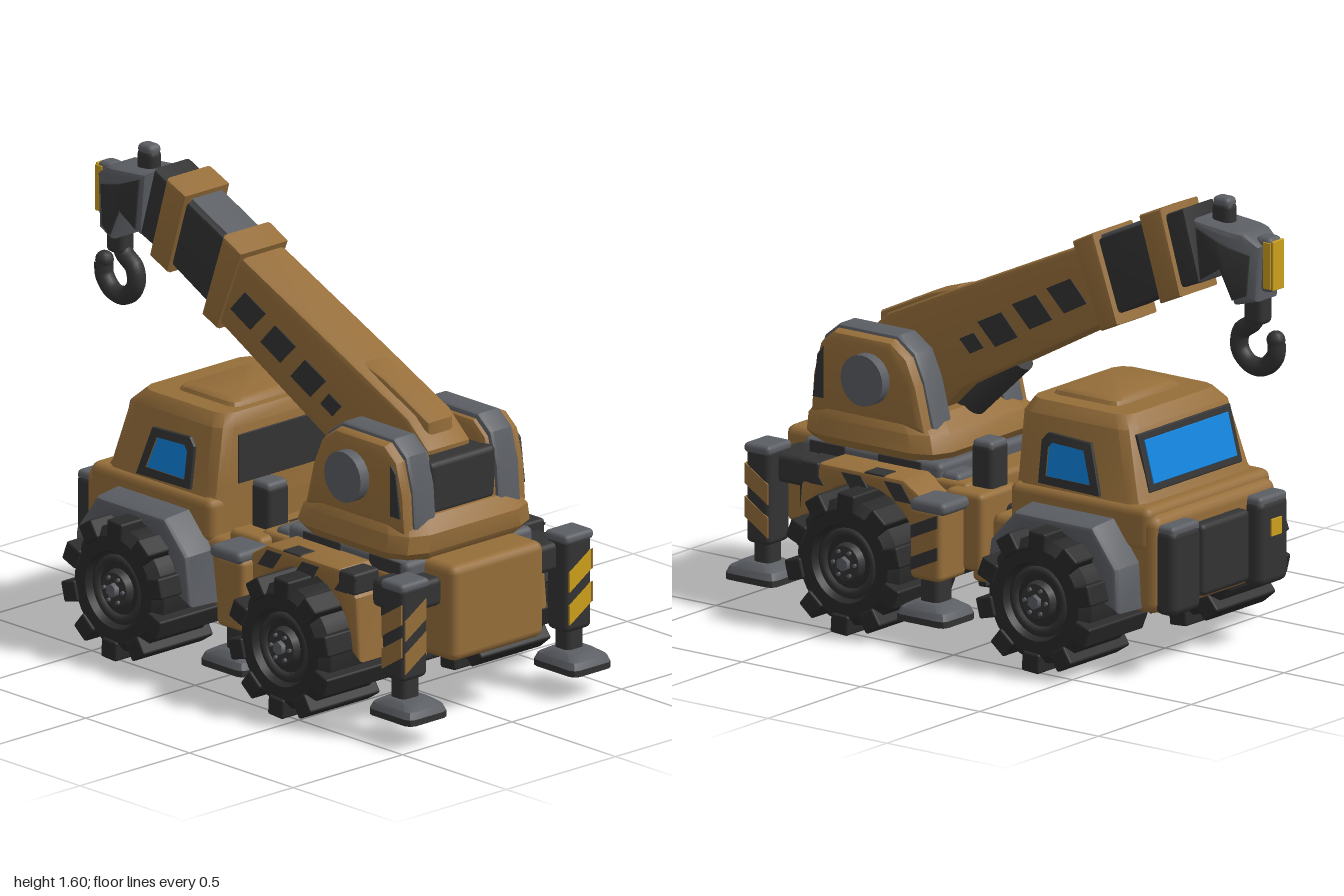
import * as THREE from 'three';
import { RoundedBoxGeometry } from 'three/addons/geometries/RoundedBoxGeometry.js';
import { toCreasedNormals } from 'three/addons/utils/BufferGeometryUtils.js';

const paint = (name, color) => Object.assign(new THREE.MeshStandardMaterial({ color }), { name });

export function createModel() {
  const root = new THREE.Group();
  root.name = 'mobileCrane';
  const brown = paint('brown paint', 0x966e3a), dark = paint('dark metal', 0x333334);
  const gray = paint('gray metal', 0x5b5e63), tyreMat = paint('tyre rubber', 0x2a2a2a);
  const blue = paint('window glass', 0x0f84de), yellow = paint('yellow paint', 0xcda01c);

  const add = (name, geo, mat, parent = root) => {
    const m = new THREE.Mesh(geo, mat);
    m.name = name;
    parent.add(m);
    return m;
  };
  // Rounded box given by its extents
  const box = (name, mat, x0, x1, y0, y1, z0, z1, r = 0.02, parent = root) => {
    const m = add(name, new RoundedBoxGeometry(x1 - x0, y1 - y0, z1 - z0, 2, r), mat, parent);
    m.position.set((x0 + x1) / 2, (y0 + y1) / 2, (z0 + z1) / 2);
    return m;
  };
  // Side outline, with an optional hole, extruded between two depths with bevelled rims
  const prism = (name, mat, pts, z0, z1, b = 0.015, hole = null) => {
    const shape = new THREE.Shape(pts.map(p => new THREE.Vector2(...p)));
    if (hole) shape.holes.push(new THREE.Path(hole.map(p => new THREE.Vector2(...p))));
    const geo = new THREE.ExtrudeGeometry(shape, {
      depth: z1 - z0 - 2 * b, bevelEnabled: b > 0, bevelThickness: b, bevelSize: b, bevelOffset: -b, bevelSegments: 2,
    });
    geo.translate(0, 0, z0 + b);
    return add(name, toCreasedNormals(geo, 0.6), mat);
  };
  // Move the vertices of a mesh by a rule
  const reshape = (m, rule) => {
    const p = m.geometry.attributes.position;
    for (let i = 0; i < p.count; i++) p.setXYZ(i, ...rule(p.getX(i), p.getY(i), p.getZ(i)));
    m.geometry = toCreasedNormals(m.geometry, 0.6);
  };
  // Same part on both sides of the vehicle
  const span = (s, a, b) => (s > 0 ? [a, b] : [-b, -a]);
  const sides = fn => [1, -1].forEach(fn);
  // Stacked rounded rectangles: [y, x0, x1, half depth]
  const loft = (name, mat, rows, c) => {
    const pos = [], idx = [], n = 12;
    rows.forEach(([y, x0, x1, h]) => {
      [[x1, h, 0], [x0, h, 1], [x0, -h, 2], [x1, -h, 3]].forEach(([x, z, q]) => {
        const sx = Math.sign(x - (x0 + x1) / 2), sz = Math.sign(z);
        const k = [[0, c], [c * 0.3, c * 0.3], [c, 0]];
        (q % 2 ? k.reverse() : k).forEach(([dx, dz]) => pos.push(x - sx * dx, y, z - sz * dz));
      });
    });
    for (let r = 0; r < rows.length - 1; r++) for (let i = 0; i < n; i++) {
      const a = r * n + i, b = r * n + (i + 1) % n;
      idx.push(a, a + n, b, b, a + n, b + n);
    }
    const top = (rows.length - 1) * n;
    for (let i = 1; i < n - 1; i++) idx.push(0, i, i + 1, top, top + i + 1, top + i);
    const geo = new THREE.BufferGeometry();
    geo.setAttribute('position', new THREE.Float32BufferAttribute(pos, 3));
    geo.setIndex(idx);
    return add(name, toCreasedNormals(geo, 0.6), mat);
  };

  // Chassis and cab
  box('chassis', dark, -0.64, 0.8, 0.21, 0.46, -0.215, 0.215);
  box('middleFrame', brown, -0.12, 0.13, 0.18, 0.42, -0.24, 0.24);
  box('nose', brown, -0.72, -0.58, 0.22, 0.56, -0.33, 0.33, 0.04);
  box('cabSill', brown, -0.69, -0.1, 0.43, 0.585, -0.335, 0.335, 0.03);
  box('cabRearPanel', brown, -0.15, -0.02, 0.22, 0.46, -0.33, 0.33, 0.03);
  loft('cab', brown, [[0.55, -0.66, -0.1, 0.325], [0.6, -0.63, -0.1, 0.31], [0.82, -0.57, -0.1, 0.28], [0.862, -0.53, -0.12, 0.25]], 0.05);
  loft('roofHatch', brown, [[0.855, -0.44, -0.15, 0.18], [0.875, -0.43, -0.16, 0.17], [0.885, -0.41, -0.18, 0.15]], 0.03);
  const pane = [[-0.435, 0.62], [-0.395, 0.735], [-0.26, 0.74], [-0.242, 0.72], [-0.242, 0.62]];
  sides(s => {
    const lean = (x, y, z) => [x, y, z - s * 0.136 * (y - 0.6)];
    reshape(prism('sideWindowFrame', dark, [[-0.475, 0.59], [-0.42, 0.76], [-0.24, 0.768], [-0.215, 0.74], [-0.215, 0.595]], ...span(s, 0.3, 0.322), 0.003, pane), lean);
    reshape(prism('sideWindow', blue, pane, ...span(s, 0.304, 0.3125), 0), lean);
  });
  const windscreen = new THREE.Group();
  windscreen.name = 'windscreen';
  windscreen.position.set(-0.6, 0.71, 0);
  windscreen.rotation.z = -0.266;
  root.add(windscreen);
  box('windscreenFrame', dark, -0.006, 0.01, -0.1, 0.1, -0.25, 0.25, 0.005, windscreen);
  box('windscreenGlass', blue, -0.01, -0.004, -0.075, 0.075, -0.225, 0.225, 0.002, windscreen);
  box('rearCabWindow', dark, -0.103, -0.095, 0.62, 0.79, -0.21, 0.21, 0.002);

  // Front bumper, with one marker lamp
  box('grille', dark, -0.76, -0.68, 0.25, 0.5, -0.13, 0.13);
  sides(s => {
    box('bumperBlock', dark, -0.78, -0.69, 0.22, 0.52, ...span(s, 0.155, 0.315), 0.03);
    box('bumperCap', gray, -0.775, -0.69, 0.49, 0.53, ...span(s, 0.16, 0.31), 0.015);
  });
  box('markerLamp', yellow, -0.785, -0.778, 0.39, 0.45, 0.21, 0.265, 0.002);

  // Arch outline around a wheel centre
  const arch = (cx, outer) => {
    const inner = [];
    for (let i = 0; i <= 12; i++) {
      const a = Math.PI * i / 12;
      inner.push([cx + 0.235 * Math.cos(a), 0.27 + 0.23 * Math.sin(a)]);
    }
    return outer.concat(inner);
  };
  sides(s => {
    const front = prism('frontFender', gray, arch(-0.365, [[-0.665, 0.24], [-0.655, 0.4], [-0.55, 0.54], [-0.2, 0.54], [-0.09, 0.42], [-0.065, 0.24]]), ...span(s, 0.24, 0.445));
    // Narrow the arch towards its outer rim
    reshape(front, (x, y, z) => {
      const t = Math.max(0, (Math.abs(z) - 0.33) / 0.115) * 0.07;
      return [x - (x + 0.365) * t, y - (y - 0.25) * t, z];
    });
    prism('rearFender', brown, arch(0.44, [[0.16, 0.26], [0.16, 0.48], [0.27, 0.545], [0.62, 0.545], [0.7, 0.46], [0.72, 0.24]]), ...span(s, 0.22, 0.43));
    box('rearSideBox', brown, 0.68, 0.8, 0.22, 0.5, ...span(s, 0.18, 0.315));
    box('rearSidePanel', dark, 0.69, 0.79, 0.26, 0.48, ...span(s, 0.312, 0.32), 0.003);
    // Dark stripes wrapped over the rear fender
    [[0.23, 0.3], [0.4, 0.48], [0.6, 0.66]].forEach(([a, b]) =>
      prism('fenderStripe', dark, [[a, 0.47], [b, 0.47], [b + 0.045, 0.53], [a + 0.045, 0.53]], ...span(s, 0.426, 0.434), 0));
    box('fenderNotch', dark, 0.35, 0.43, 0.541, 0.548, ...span(s, 0.36, 0.43), 0.002);
    box('fenderNotch', dark, 0.62, 0.7, 0.47, 0.545, ...span(s, 0.32, 0.435), 0.01);
  });

  // Wheels with ten broad tread lugs
  const tyreProfile = [[0.03, -0.13], [0.11, -0.13], [0.13, -0.15], [0.185, -0.155], [0.215, -0.12], [0.215, 0.12], [0.185, 0.15],
    [0.135, 0.15], [0.125, 0.125], [0.1, 0.12], [0.001, 0.12]].map(p => new THREE.Vector2(...p));
  const tyreGeo = toCreasedNormals(new THREE.LatheGeometry(tyreProfile, 32).rotateX(Math.PI / 2), 0.5);
  [[-0.365, 0.256], [0.44, 0.25]].forEach(([x, y]) => sides(s => {
    const wheel = new THREE.Group();
    wheel.name = 'wheel';
    wheel.position.set(x, y, s * 0.38);
    if (s < 0) wheel.rotation.y = Math.PI;
    root.add(wheel);
    add('tyre', tyreGeo, tyreMat, wheel);
    for (let i = 0; i < 10; i++) {
      const a = Math.PI * (i + 0.4) / 5;
      const lug = box('treadLug', tyreMat, -0.034, 0.034, -0.036, 0.036, -0.16, 0.16, 0.008, wheel);
      lug.position.set(0.21 * Math.cos(a), 0.21 * Math.sin(a), 0);
      lug.rotation.z = a;
    }
    add('rimRing', new THREE.TorusGeometry(0.105, 0.014, 8, 28), dark, wheel).position.z = 0.12;
    add('hub', new THREE.CylinderGeometry(0.06, 0.07, 0.03, 20).rotateX(Math.PI / 2), dark, wheel).position.z = 0.13;
    add('hubCap', new THREE.CylinderGeometry(0.024, 0.026, 0.02, 6).rotateX(Math.PI / 2), gray, wheel).position.z = 0.152;
    for (let i = 0; i < 6; i++)
      add('wheelBolt', new THREE.CylinderGeometry(0.007, 0.007, 0.012, 6).rotateX(Math.PI / 2), gray, wheel)
        .position.set(0.045 * Math.cos(i * Math.PI / 3), 0.045 * Math.sin(i * Math.PI / 3), 0.148);
  }));

  // Rear deck and counterweight
  box('rearBody', brown, 0.1, 0.78, 0.42, 0.53, -0.3, 0.3);
  box('turntable', gray, 0.22, 0.8, 0.51, 0.575, -0.29, 0.29);
  sides(s => [[0.3, 0.48], [0.62, 0.77]].forEach(([a, b]) => box('turntablePanel', dark, a, b, 0.52, 0.57, ...span(s, 0.286, 0.294), 0.003)));
  box('counterweight', brown, 0.74, 0.94, 0.24, 0.575, -0.21, 0.21, 0.03);

  // Outriggers
  const foot = (x, z) => {
    loft('outriggerFoot', dark, [[0.09, -0.105, 0.105, 0.09], [0.112, -0.105, 0.105, 0.09]], 0.025).position.set(x, 0, z);
    loft('outriggerFootTop', gray, [[0.112, -0.105, 0.105, 0.09], [0.135, -0.095, 0.095, 0.082], [0.155, -0.06, 0.06, 0.055]], 0.025).position.set(x, 0, z);
  };
  sides(s => {
    box('deckBox', brown, 0, 0.16, 0.25, 0.52, ...span(s, 0.14, 0.35));
    box('exhaustStack', dark, 0.02, 0.11, 0.48, 0.67, ...span(s, 0.17, 0.27));
    box('exhaustCap', gray, 0.023, 0.107, 0.64, 0.68, ...span(s, 0.173, 0.267), 0.015);
    box('deckHousing', gray, 0.15, 0.23, 0.48, 0.55, ...span(s, 0.16, 0.28));
    box('frontOutriggerSleeve', brown, 0.075, 0.205, 0.23, 0.48, ...span(s, 0.33, 0.48));
    box('frontOutriggerCap', gray, 0.05, 0.2, 0.465, 0.51, ...span(s, 0.34, 0.49));
    box('frontOutriggerLeg', dark, 0.1, 0.18, 0.12, 0.25, ...span(s, 0.37, 0.46));
    foot(0.135, s * 0.425);
    box('rearOutriggerArm', dark, 0.72, 0.88, 0.43, 0.53, ...span(s, 0.2, 0.38));
    box('rearOutriggerPost', dark, 0.83, 0.93, 0.22, 0.55, ...span(s, 0.315, 0.435));
    box('rearOutriggerCap', gray, 0.825, 0.935, 0.53, 0.565, ...span(s, 0.31, 0.44), 0.015);
    box('rearOutriggerLeg', dark, 0.845, 0.915, 0.12, 0.24, ...span(s, 0.335, 0.415));
    foot(0.895, s * 0.375);
    // Warning stripes on the post, yellow only on one rear face
    for (let i = 0; i < 2; i++) {
      const y = 0.25 + i * 0.115;
      const bar = [[-0.048, y], [0.048, y + 0.06], [0.048, y + 0.13], [-0.048, y + 0.07]];
      prism('postSideStripe', brown, bar.map(([u, v]) => [u + 0.88, v]), ...span(s, 0.432, 0.438), 0);
      const m = prism('postRearStripe', s > 0 ? brown : yellow, bar, -0.003, 0.003, 0);
      m.rotation.y = Math.PI / 2;
      m.position.set(0.931, 0, s * 0.375);
    }
  });
  // Dark stripes on the far front sleeve
  [0.26, 0.37].forEach(y => prism('sleeveStripe', dark, [[0.085, y + 0.05], [0.195, y], [0.195, y + 0.045], [0.085, y + 0.095]], -0.484, -0.476, 0));

  // Turret
  loft('turretBase', brown, [[0.57, 0.25, 0.8, 0.29], [0.6, 0.23, 0.82, 0.31], [0.66, 0.25, 0.82, 0.3], [0.71, 0.31, 0.78, 0.27]], 0.1);
  box('turretBackPanel', dark, 0.6, 0.77, 0.7, 0.885, -0.15, 0.15);
  sides(s => {
    const cheek = [[0.29, 0.66], [0.33, 0.82], [0.37, 0.91], [0.44, 0.96], [0.68, 0.96], [0.74, 0.91], [0.77, 0.8], [0.78, 0.66]];
    prism('turretCheek', brown, cheek, ...span(s, 0.12, 0.285), 0.03);
    const grow = cheek.map(([x, y]) => [0.535 + (x - 0.535) * 1.035, y + 0.013]);
    prism('turretTrim', gray, grow, ...span(s, 0.14, 0.245), 0.015);
    prism('cheekVent', dark, [[0.715, 0.72], [0.715, 0.9], [0.74, 0.87], [0.76, 0.72]], ...span(s, 0.28, 0.287), 0);
    add('pivotCap', new THREE.CylinderGeometry(0.088, 0.088, 0.06, 24).rotateX(Math.PI / 2), gray).position.set(0.525, 0.82, s * 0.295);
  });

  // Boom, from the turret to the tip
  prism('boomBase', brown, [[-0.34, 1.12], [-0.23, 1.37], [0.3, 1.13], [0.6, 0.99], [0.7, 0.9], [0.68, 0.7], [0.36, 0.7], [0.27, 0.79]], -0.1, 0.1, 0.02);
  prism('boomHump', brown, [[0.28, 1.06], [0.34, 1.115], [0.45, 1.08], [0.66, 0.98], [0.66, 0.9]], -0.06, 0.06, 0.02);
  prism('boomCollar', brown, [[-0.28, 1.42], [-0.19, 1.375], [-0.31, 1.085], [-0.385, 1.12]], -0.112, 0.112);
  prism('boomMiddle', dark, [[-0.5, 1.495], [-0.24, 1.375], [-0.34, 1.135], [-0.56, 1.25]], -0.088, 0.088);
  prism('boomMiddleTop', gray, [[-0.5, 1.507], [-0.24, 1.385], [-0.25, 1.35], [-0.51, 1.47]], -0.07, 0.07, 0.005);
  prism('outerCollar', brown, [[-0.56, 1.55], [-0.465, 1.51], [-0.555, 1.22], [-0.645, 1.26]], -0.105, 0.105);
  prism('boomEnd', dark, [[-0.64, 1.56], [-0.53, 1.51], [-0.6, 1.27], [-0.71, 1.315]], -0.085, 0.085);
  sides(s => [[-0.165, 1.18, 1], [-0.02, 1.1, 1], [0.125, 1.015, 1], [0.235, 0.95, 0.6]].forEach(([x, y, k]) =>
    prism('boomStripe', dark, [[-0.085, -0.01], [-0.015, 0.064], [0.085, 0.014], [0.01, -0.06]].map(([u, v]) => [x + u * k, y + v * k]), ...span(s, 0.097, 0.104), 0)));
  const ram = add('liftRam', new THREE.CylinderGeometry(0.045, 0.045, 0.32, 16), dark);
  ram.position.set(0.22, 0.79, 0);
  ram.rotation.z = 0.82;

  // Head, tapering to the tip, and hook
  const taper = (x, y, z) => [x, y, z * THREE.MathUtils.clamp(1.2 + (x + 0.84) * 4, 0.7, 1.2)];
  reshape(prism('boomHead', gray, [[-0.68, 1.53], [-0.84, 1.515], [-0.88, 1.51], [-0.94, 1.47], [-0.93, 1.28], [-0.85, 1.26], [-0.81, 1.36], [-0.7, 1.31]], -0.075, 0.075, 0.02), taper);
  sides(s => reshape(prism('headCheek', dark, [[-0.7, 1.51], [-0.8, 1.47], [-0.84, 1.46], [-0.91, 1.44], [-0.9, 1.3], [-0.85, 1.28], [-0.8, 1.38], [-0.72, 1.33]], ...span(s, 0.068, 0.08), 0.004), taper));
  box('headKnob', dark, -0.79, -0.71, 1.49, 1.59, -0.03, 0.03, 0.025);
  box('headKnobCap', gray, -0.785, -0.715, 1.565, 1.605, -0.028, 0.028, 0.018);
  box('tipBlock', gray, -0.97, -0.9, 1.31, 1.5, -0.035, 0.035);
  box('tipMarker', yellow, -0.978, -0.969, 1.32, 1.49, -0.03, 0.03, 0.003);
  sides(s => box('tipSideMarker', yellow, -0.972, -0.94, 1.325, 1.485, ...span(s, 0.032, 0.038), 0.002));
  box('hookShank', dark, -0.93, -0.85, 1.19, 1.3, -0.035, 0.035);
  const curve = new THREE.CatmullRomCurve3([[-0.89, 1.23], [-0.87, 1.19], [-0.82, 1.15], [-0.815, 1.09], [-0.86, 1.045], [-0.92, 1.045], [-0.965, 1.09], [-0.97, 1.14]]
    .map(([x, y]) => new THREE.Vector3(x, y, 0)));
  add('hook', new THREE.TubeGeometry(curve, 32, 0.032, 10), dark);
  add('hookTip', new THREE.SphereGeometry(0.032, 12, 8), dark).position.set(-0.966, 1.145, 0);
  return root;
}
